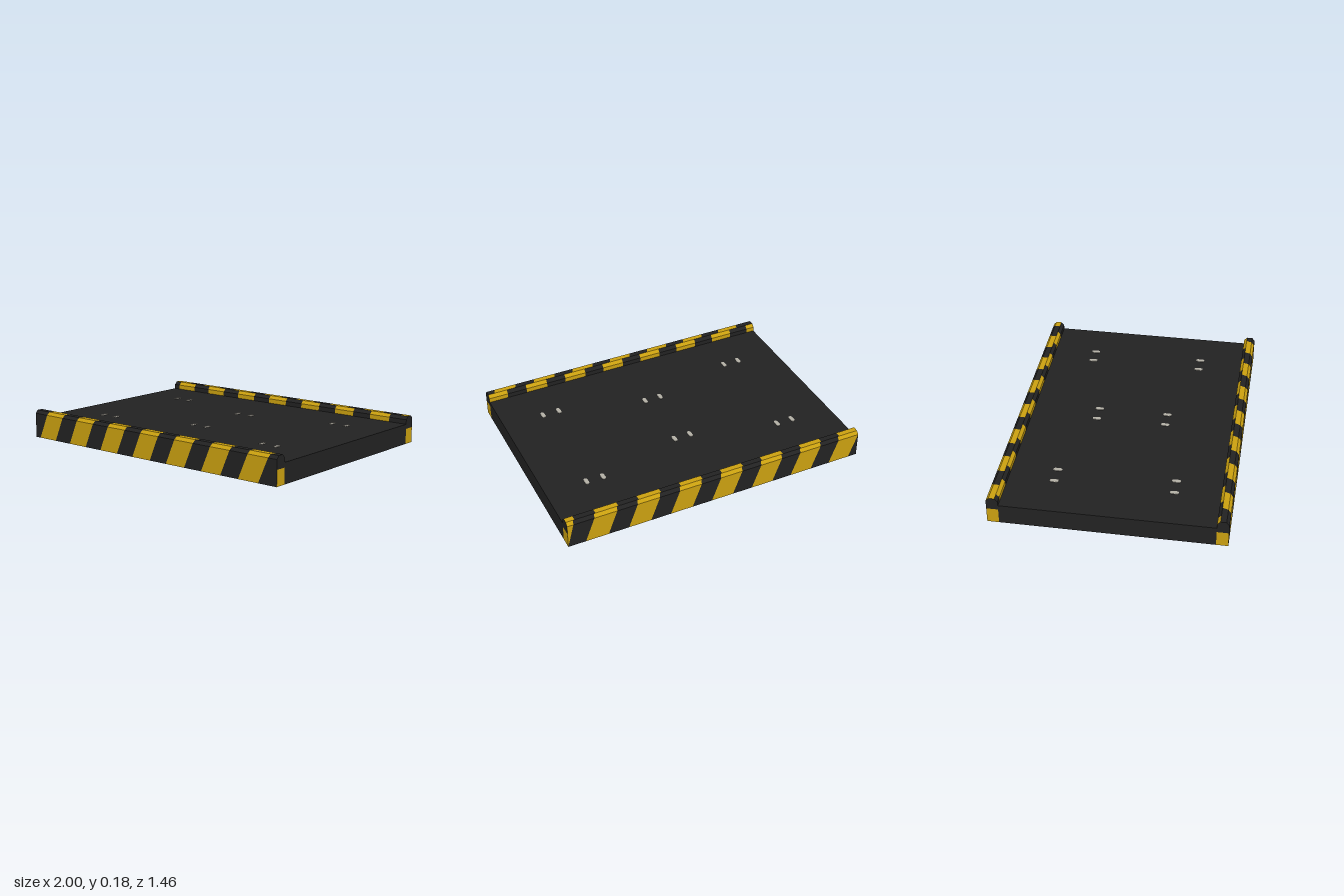
import * as THREE from 'three';

const dark = new THREE.MeshStandardMaterial({ name: 'charcoal', color: 0x222222 });
const yellow = new THREE.MeshStandardMaterial({ name: 'hazard yellow', color: 0xcaa010 });
const grey = new THREE.MeshStandardMaterial({ name: 'light grey', color: 0xb2aea4 });

const PERIOD = 0.28, WIDTH = 0.147;

// Rail section as [z, y], from the outer bottom edge over the top to the inner bottom edge
const PROFILE = [[0.728, 0], [0.728, 0.16], [0.71, 0.18], [0.674, 0.18], [0.655, 0.16], [0.655, 0]];

// Adds a flat polygon as a triangle fan
function addPolygon(list, points, reverse) {
  const p = reverse ? [...points].reverse() : points;
  for (let i = 1; i < p.length - 1; i++) list.push(...p[0], ...p[i], ...p[i + 1]);
}

function flatMesh(positions, material, name) {
  const geo = new THREE.BufferGeometry();
  geo.setAttribute('position', new THREE.Float32BufferAttribute(positions, 3));
  geo.computeVertexNormals();
  const mesh = new THREE.Mesh(geo, material);
  mesh.name = name;
  return mesh;
}

// side is +1 at the front, -1 at the back; phases give where a stripe starts on each face's two edges
function createRail(side, phases, name) {
  const yellowFaces = [], darkFaces = [];
  const clampX = (x) => THREE.MathUtils.clamp(x, -1, 1);

  // Slanted stripes along every long face
  PROFILE.forEach(([z0, y0], i) => {
    const [z1, y1] = PROFILE[(i + 1) % PROFILE.length];
    const [from, to] = phases[i];
    const band = (list, a, b) => {
      const xs = [from + a, from + b, to + b, to + a].map(clampX);
      if (xs[0] === xs[1] && xs[2] === xs[3]) return;
      addPolygon(list, [
        [xs[0], y0, side * z0], [xs[1], y0, side * z0],
        [xs[2], y1, side * z1], [xs[3], y1, side * z1],
      ], side < 0);
    };
    for (let k = -5; k <= 5; k++) {
      band(yellowFaces, k * PERIOD, k * PERIOD + WIDTH);
      band(darkFaces, k * PERIOD + WIDTH, (k + 1) * PERIOD);
    }
  });

  // End caps: yellow below, dark above
  const split = 0.1, outer = PROFILE[0][0], inner = PROFILE[5][0];
  const lower = [[outer, 0], [outer, split], [inner, split], [inner, 0]];
  const upper = [[outer, split], ...PROFILE.slice(1, 5), [inner, split]];
  for (const end of [-1, 1]) {
    const place = (pts) => pts.map(([z, y]) => [end, y, side * z]);
    addPolygon(yellowFaces, place(lower), end * side > 0);
    addPolygon(darkFaces, place(upper), end * side > 0);
  }

  const rail = new THREE.Group();
  rail.name = name;
  rail.add(flatMesh(yellowFaces, yellow, 'yellowStripes'), flatMesh(darkFaces, dark, 'darkStripes'));
  return rail;
}

// Small rounded marker, lying flat on the deck
function markerGeometry() {
  const r = 0.013, half = 0.015;
  const shape = new THREE.Shape();
  shape.absarc(0, half, r, 0, Math.PI);
  shape.absarc(0, -half, r, Math.PI, Math.PI * 2);
  shape.closePath();
  const geo = new THREE.ExtrudeGeometry(shape, { depth: 0.004, bevelEnabled: false, curveSegments: 5 });
  return geo.rotateX(-Math.PI / 2);
}

export function createModel() {
  const model = new THREE.Group();
  model.name = 'platform';

  // Deck slab
  const deck = new THREE.Mesh(new THREE.BoxGeometry(2, 0.13, 1.31), dark);
  deck.name = 'deck';
  deck.position.y = 0.065;
  model.add(deck);

  // Striped edge rails: outer, outer chamfer, top, inner chamfer, inner, underside
  model.add(createRail(1, [
    [-0.12, -0.05], [-0.05, -0.045], [-0.045, -0.03], [0.03, 0.03], [0.03, 0.03], [-0.12, -0.12],
  ], 'frontRail'));
  model.add(createRail(-1, [
    [-0.1, -0.16], [-0.16, -0.165], [-0.175, -0.175], [-0.115, -0.115], [-0.115, -0.115], [-0.1, -0.1],
  ], 'backRail'));

  // Pairs of deck markers, mirrored front to back
  const marker = markerGeometry();
  for (const [x, z] of [[-0.665, 0.37], [0.005, 0.225], [0.675, 0.37]]) {
    for (const dx of [-0.055, 0.055]) {
      for (const s of [-1, 1]) {
        const mesh = new THREE.Mesh(marker, grey);
        mesh.name = 'deckMarker';
        mesh.position.set(x + dx, 0.129, s * z);
        model.add(mesh);
      }
    }
  }
  return model;
}
